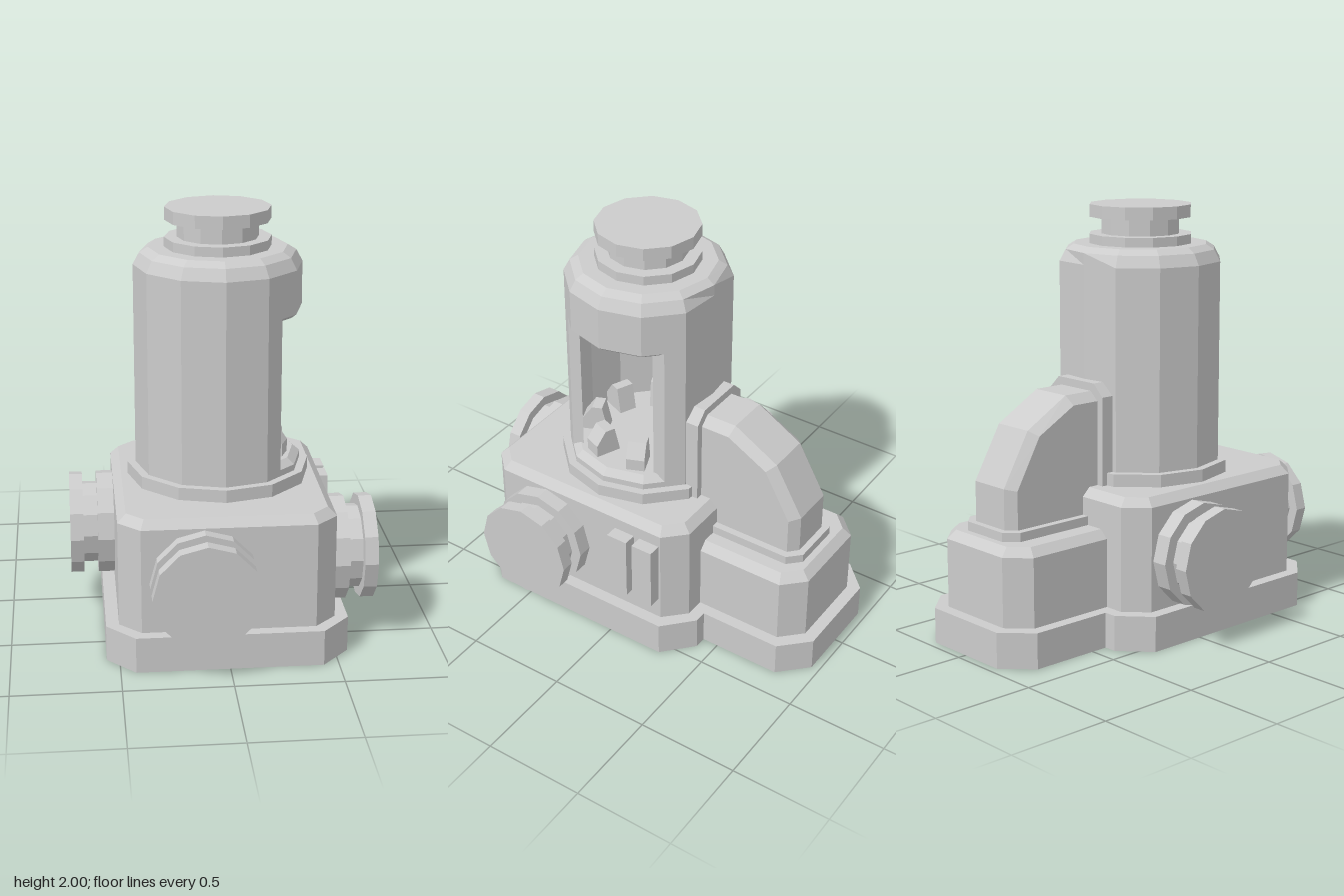
import * as THREE from 'three';
import { ConvexGeometry } from 'three/addons/geometries/ConvexGeometry.js';

const material = new THREE.MeshStandardMaterial({ color: 0xcccccc, flatShading: true });
const SIDES = 12;
const TOWER_X = 0.005, TOWER_Z = 0.14;

export function createModel() {
  const model = new THREE.Group();

  const add = (name, geometry, x = 0, y = 0, z = 0) => {
    const mesh = new THREE.Mesh(geometry, material);
    mesh.name = name;
    mesh.position.set(x, y, z);
    model.add(mesh);
    return mesh;
  };

  // Twelve-sided turned solid; the back can be flattened at a given depth
  const turned = (profile, back = -Infinity) => {
    const g = new THREE.LatheGeometry(profile.map(([r, y]) => new THREE.Vector2(r, y)), SIDES);
    const p = g.attributes.position;
    for (let i = 0; i < p.count; i++) p.setZ(i, Math.max(p.getZ(i), back));
    g.computeVertexNormals();
    return g;
  };

  // Box with cut vertical corners; levels are [height, inset] pairs
  const chamferBox = (x0, x1, z0, z1, cut, levels) => {
    const points = [];
    for (const [y, inset] of levels) {
      const c = cut - inset * 0.586;
      for (const [x, sx] of [[x0 + inset, 1], [x1 - inset, -1]]) {
        for (const [z, sz] of [[z0 + inset, 1], [z1 - inset, -1]]) {
          points.push(new THREE.Vector3(x + sx * c, y, z), new THREE.Vector3(x, y, z + sz * c));
        }
      }
    }
    return new ConvexGeometry(points);
  };

  const extrude = (points, depth) => new THREE.ExtrudeGeometry(
    new THREE.Shape(points.map(([x, y]) => new THREE.Vector2(x, y))),
    { depth, bevelEnabled: false });

  // Stepped plinth (shape y is -z)
  const half = [[0.43, -0.83], [0.56, -0.69], [0.56, 0.29], [0.42, 0.42],
    [0.36, 0.42], [0.36, 0.83], [0.23, 0.96]];
  const outline = [...half, ...half.map(([x, y]) => [-x, y]).reverse()];
  add('plinth', extrude(outline, 0.17).rotateX(-Math.PI / 2));

  // Main housing and lower rear housing
  add('mainHousing', chamferBox(-0.5, 0.5, -0.36, 0.774, 0.1, [[0.17, 0], [0.67, 0], [0.71, 0.04]]));
  add('rearHousing', chamferBox(-0.303, 0.303, -0.9, -0.15, 0.1, [[0.17, 0], [0.5, 0], [0.54, 0.04]]));

  // Tower foot, sill, head
  add('towerFoot', turned([[0, 0.7], [0.434, 0.7], [0.434, 0.77], [0, 0.77]], -0.394),
    TOWER_X, 0, TOWER_Z);
  add('towerSill', turned([[0, 0.76], [0.395, 0.76], [0.395, 0.8], [0.36, 0.83], [0, 0.83]], -0.363),
    TOWER_X, 0, TOWER_Z);
  add('towerHead', turned([[0, 1.6], [0.345, 1.51], [0.37, 1.51], [0.395, 1.53], [0.395, 1.735],
    [0.365, 1.79], [0.325, 1.815], [0, 1.815]], -0.363), TOWER_X, 0, TOWER_Z);

  // Hollow tower wall, open on its left side
  const arc = (radius, cut) => {
    const points = [[cut, radius * 1.366 - cut]];
    for (let k = 2; k <= 10; k++) {
      const a = k * Math.PI / 6;
      points.push([radius * Math.cos(a), Math.min(radius * Math.sin(a), 0.363)]);
    }
    points.push([cut, cut - radius * 1.366]);
    return points;
  };
  const wall = [...arc(0.395, 0.268), ...arc(0.348, 0.268).reverse()];
  add('towerWall', extrude(wall, 0.73).rotateX(-Math.PI / 2), TOWER_X, 0.8, TOWER_Z);

  // Ring of claws on the chamber floor
  const claw = extrude([[0.2, 0.82], [0.33, 0.82], [0.33, 0.89], [0.28, 0.96], [0.23, 0.96]], 0.09)
    .translate(0, 0, -0.045);
  for (let i = 0; i < 8; i++) {
    add('claw', claw, TOWER_X, 0, TOWER_Z).rotation.y = (i + 0.5) * Math.PI / 4;
  }

  // Capped spools: one on top, three on the sides
  const spool = (neck) => turned([[0, -0.02], [0.25, -0.02], [0.25, neck[1]], [neck[0], neck[1]],
    [neck[0], neck[2]], [0.248, neck[2]], [0.248, neck[3]], [0, neck[3]]]);
  add('topCap', spool([0.19, 0.045, 0.125, 0.185]), TOWER_X, 1.815, TOWER_Z);
  const port = spool([0.198, 0.068, 0.137, 0.2]);
  add('frontPort', port, -0.113, 0.412, 0.765).rotation.x = Math.PI / 2;
  add('leftPort', port, 0.505, 0.412, 0.41).rotation.z = -Math.PI / 2;
  add('rightPort', port, -0.51, 0.412, 0).rotation.z = Math.PI / 2;

  // Raised plates on the left side
  for (const z of [-0.053, -0.195]) {
    add('sidePlate', new THREE.BoxGeometry(0.1, 0.324, 0.11), 0.515, 0.448, z);
  }

  // Bent rear duct with bevelled side edges
  const outer = [[-0.2, 1.156], [-0.424, 1.156], [-0.652, 1.024], [-0.795, 0.775], [-0.795, 0.54], [-0.2, 0.54]];
  const inner = [[-0.2, 1.114], [-0.414, 1.114], [-0.62, 1.0], [-0.753, 0.765], [-0.753, 0.54], [-0.2, 0.54]];
  const ductPoints = [];
  for (const side of [-1, 1]) {
    for (const [z, y] of outer) ductPoints.push(new THREE.Vector3(side * 0.104, y, z));
    for (const [z, y] of inner) ductPoints.push(new THREE.Vector3(side * 0.15, y, z));
  }
  add('duct', new ConvexGeometry(ductPoints), 0.013);

  // Duct collars at the rear housing and at the tower
  add('ductFoot', chamferBox(-0.173, 0.198, -0.828, -0.2, 0.06, [[0.52, 0], [0.583, 0]]));
  add('ductFlange', extrude([[-0.185, 0.69], [0.185, 0.69], [0.185, 1.135], [0.125, 1.194],
    [-0.125, 1.194], [-0.185, 1.135]], 0.09), 0.013, 0, -0.268);

  return model;
}
